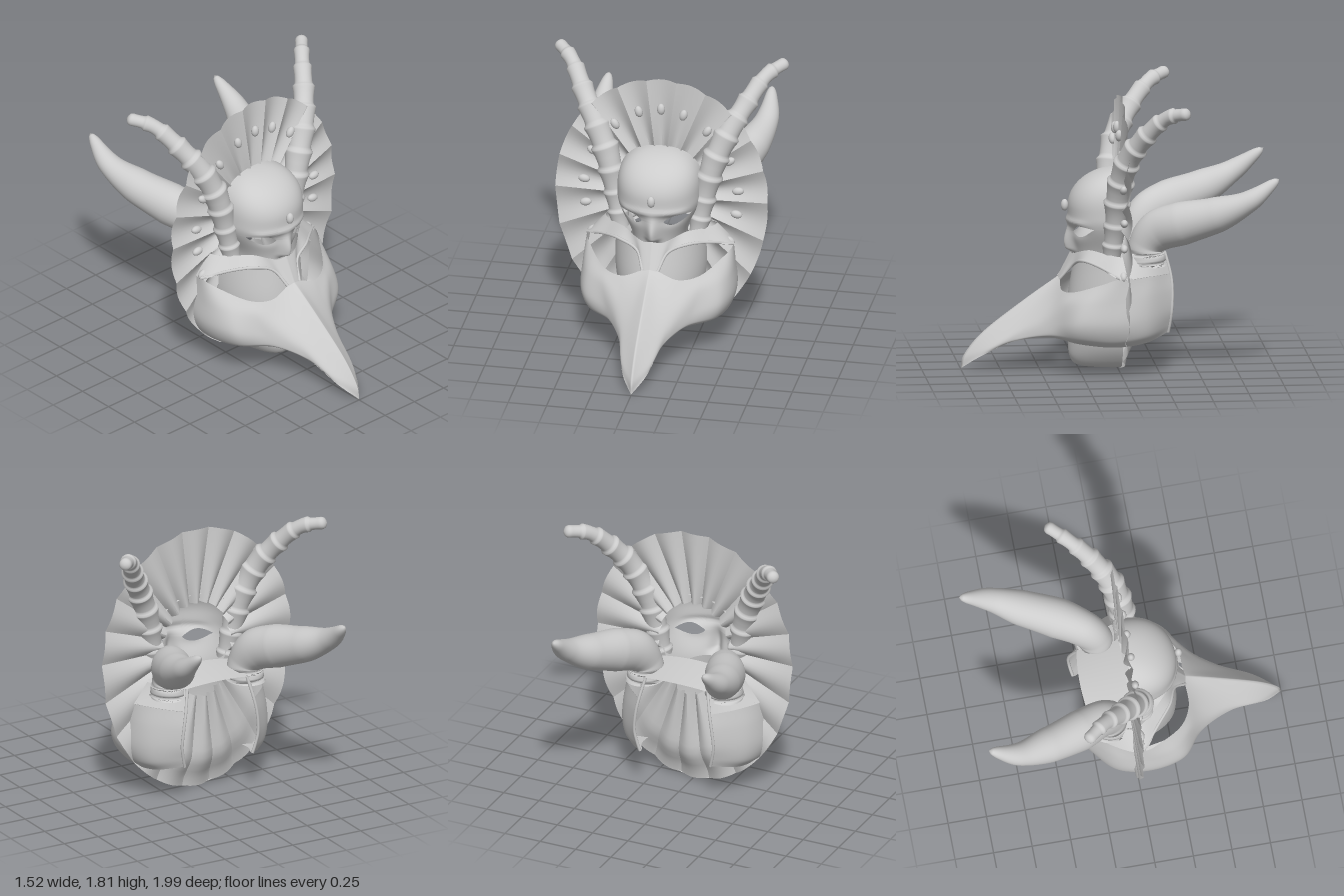
import * as THREE from 'three';
import { mergeVertices, toCreasedNormals } from 'three/addons/utils/BufferGeometryUtils.js';

const material = new THREE.MeshStandardMaterial({ color: 0xcccccc, side: THREE.DoubleSide });
const V = (p) => new THREE.Vector3(...p);
const spline = (pts) => new THREE.CatmullRomCurve3(pts.map(V), false, 'catmullrom', 0.5);
const lerp = THREE.MathUtils.lerp;
const smooth = THREE.MathUtils.smoothstep;

// Grid surface from fn(u, v) -> [x, y, z], with u and v from 0 to 1
function surface(fn, nu, nv) {
  const pos = [], index = [];
  for (let j = 0; j <= nv; j++) for (let i = 0; i <= nu; i++) pos.push(...fn(i / nu, j / nv));
  for (let j = 0; j < nv; j++) for (let i = 0; i < nu; i++) {
    const a = j * (nu + 1) + i, b = a + nu + 1;
    index.push(a, a + 1, b, a + 1, b + 1, b);
  }
  let geo = new THREE.BufferGeometry();
  geo.setAttribute('position', new THREE.Float32BufferAttribute(pos, 3));
  geo.setIndex(index);
  geo = mergeVertices(geo, 1e-5);
  geo.computeVertexNormals();
  return geo;
}

// Left-right symmetric skin through guide rows that run from the centre line to the back
function skin(rows, nu, nv) {
  const curves = rows.map(spline);
  const columns = [];
  for (let i = 0; i <= nu; i++) {
    columns.push(new THREE.CatmullRomCurve3(curves.map((c) => c.getPoint(i / nu)), false, 'catmullrom', 0.5));
  }
  return surface((u, v) => {
    const s = u * 2 - 1;
    const p = columns[Math.round(Math.abs(s) * nu)].getPoint(v);
    return [s < 0 ? -p.x : p.x, p.y, p.z];
  }, nu * 2, nv);
}

// Elliptical section swept along a path; radii(t) -> [side, up]
function sweep(pts, ref, radii, nu, nv) {
  const curve = spline(pts);
  return surface((u, v) => {
    const p = curve.getPoint(v), t = curve.getTangent(v);
    const side = new THREE.Vector3().crossVectors(t, ref).normalize();
    const up = new THREE.Vector3().crossVectors(side, t);
    const [a, b] = radii(v), w = (u === 1 ? 0 : u) * Math.PI * 2;
    return p.addScaledVector(side, a * Math.cos(w)).addScaledVector(up, b * Math.sin(w)).toArray();
  }, nu, nv);
}

// Interpolates evenly spaced values
function sample(list, t) {
  const f = Math.min(t, 0.99999) * (list.length - 1), i = Math.floor(f);
  return lerp(list[i], list[i + 1], smooth(f - i, 0, 1) * 0.3 + (f - i) * 0.7);
}

// Rounds off the last part of a sweep
const roundEnd = (t, from) => Math.sqrt(Math.max(0, 1 - Math.max(0, (t - from) / (1 - from)) ** 2));

export function createModel() {
  const group = new THREE.Group();
  const add = (name, geo) => {
    const mesh = new THREE.Mesh(geo, material);
    mesh.name = name;
    group.add(mesh);
    return mesh;
  };

  // Pleated oval ruff, open behind the face and bowed back behind the chin
  const pleats = 22;
  const ruff = surface((u, v) => {
    const a = (u === 1 ? 0 : u) * Math.PI * 2, s = Math.sin(a), c = Math.cos(a);
    const wave = 1 - Math.abs(Math.sin((u * pleats + 0.5) * Math.PI));
    const bow = 0.1 * Math.max(0, -c) ** 4 * (1 - smooth(v, 0.62, 1));
    const y = 0.95 + c * (c > 0 ? lerp(0.3, 0.805, v) : lerp(0.3, 0.945, v));
    return [s * lerp(0.25, 0.69, v), y, -0.035 + wave * lerp(0.045, 0.026, v) - bow];
  }, pleats * 8, 12);
  add('ruff', toCreasedNormals(ruff, 0.5));

  // Gems around the ruff and on the forehead
  const gem = new THREE.SphereGeometry(1, 16, 12);
  const spots = [[0.145, 1.53], [0.3, 1.43], [0.445, 1.23], [0.5, 1.025], [0.49, 0.86], [0.445, 0.67]];
  const placeGem = (name, x, y, z) => {
    const m = add(name, gem);
    m.position.set(x, y, z);
    m.scale.set(0.026, 0.038, 0.024);
    m.rotation.z = -Math.atan2(x, y - 0.95);
  };
  placeGem('ruffGem', 0, 1.56, 0);
  for (const [x, y] of spots) for (const s of [-1, 1]) placeGem('ruffGem', s * x, y, 0);
  placeGem('foreheadGem', 0, 1.06, 0.335);

  // Upper face: domed shell with almond eye holes, brow and nose
  const facePoint = (a, y) => {
    const h = Math.min(1, Math.max(0, (y - 1.05) / 0.25));
    const w = lerp(0.17, 0.27, smooth(y, 0.7, 1.0)) * Math.pow(1 - h ** 2.6, 1 / 2.3);
    const d = lerp(0.27, 0.325, smooth(y, 0.7, 0.98)) * Math.sqrt(1 - h * h);
    const x = w * Math.sin(a), k = Math.abs(a);
    const nose = 0.06 * Math.exp(-((x / 0.038) ** 2)) * smooth(y, 0.735, 0.785) * (1 - smooth(y, 0.8, 0.97));
    const brow = 0.014 * Math.exp(-(((y - 0.965) / 0.02) ** 2)) * (1 - smooth(k, 0.7, 1.2));
    const socket = 0.02 * Math.exp(-(((y - 0.91) / 0.04) ** 2) - ((k - 0.55) / 0.35) ** 2);
    return [x, y, d * Math.pow(Math.max(0, Math.cos(a)), 0.72) + nose + brow - socket - 0.01];
  };
  const eyeIn = 9 * Math.PI / 96, eyeOut = 34 * Math.PI / 96;
  const eyeEdge = (a, up) => {
    const t = THREE.MathUtils.clamp((Math.abs(a) - eyeIn) / (eyeOut - eyeIn), 0, 1);
    const bulge = Math.sin(Math.pow(t, 0.8) * Math.PI);
    return 0.9 + 0.035 * t + (up ? 0.032 : -0.04) * Math.max(0, bulge);
  };
  const angle = (u) => (u - 0.5) * Math.PI;
  add('faceForehead', surface((u, v) => {
    const y0 = eyeEdge(angle(u), true);
    return facePoint(angle(u), y0 + (1.3 - y0) * Math.sin(v * Math.PI / 2));
  }, 96, 40));
  add('faceCheeks', surface((u, v) => {
    const a = angle(u), y0 = 0.74 - 0.02 * Math.sin(a) ** 2;
    return facePoint(a, lerp(y0, eyeEdge(a, false), v));
  }, 96, 20));

  // Lower face and chin shell inside the beaked helmet; points are width, height, depth
  const jaw = spline([[0.01, 0.015, 0.03], [0.1, 0.018, 0.25], [0.165, 0.07, 0.32], [0.235, 0.2, 0.335],
    [0.29, 0.45, 0.335], [0.29, 0.74, 0.29]]);
  add('chin', surface((u, v) => {
    const p = jaw.getPoint(v), a = angle(u);
    return [p.x * Math.sin(a), p.y, p.z * Math.cos(a) - 0.02];
  }, 40, 30));

  // Beaked helmet: guide rows from the beak ridge round to the back opening
  const bottom = [[0, 0.01, 1], [0.08, 0.1, 0.88], [0.13, 0.2, 0.68], [0.23, 0.245, 0.46],
    [0.36, 0.22, 0.27], [0.41, 0.205, 0.05], [0.38, 0.225, -0.15], [0.25, 0.27, -0.305]];
  const tuck = [...bottom.slice(0, 3), [0.2, 0.25, 0.44], [0.26, 0.235, 0.26], [0.3, 0.23, 0.05],
    [0.31, 0.24, -0.14], [0.24, 0.275, -0.295]];
  const tipRow = [[0, 0.1, 0.98], [0.1, 0.17, 0.81], [0.155, 0.235, 0.63], [0.265, 0.27, 0.44],
    [0.42, 0.265, 0.29], [0.465, 0.255, 0.06], [0.43, 0.285, -0.15], [0.265, 0.33, -0.315]];
  const girth = [[0, 0.25, 0.855], [0.1, 0.27, 0.7], [0.17, 0.31, 0.57], [0.28, 0.34, 0.42],
    [0.45, 0.36, 0.29], [0.5, 0.36, 0.06], [0.45, 0.39, -0.15], [0.28, 0.42, -0.325]];
  const cheek = [[0, 0.45, 0.595], [0.08, 0.44, 0.52], [0.18, 0.45, 0.44], [0.31, 0.47, 0.36],
    [0.44, 0.49, 0.24], [0.49, 0.51, 0.06], [0.44, 0.53, -0.15], [0.27, 0.54, -0.33]];
  const rear = [[0.475, 0.66, 0.02], [0.4, 0.66, -0.17], [0.25, 0.65, -0.32]];
  const bridge = [[0, 0.6, 0.38], [0.05, 0.59, 0.37]];
  const eyeLow = [...bridge, [0.18, 0.54, 0.37], [0.31, 0.55, 0.3], [0.42, 0.61, 0.15], ...rear];
  const eyeHigh = [...bridge, [0.1, 0.69, 0.29], [0.22, 0.735, 0.24], [0.34, 0.715, 0.14], ...rear];
  const top = [[0, 0.76, 0.3], [0.06, 0.755, 0.29], [0.12, 0.775, 0.26], [0.2, 0.8, 0.19],
    [0.29, 0.79, 0.1], [0.36, 0.78, -0.01], [0.33, 0.79, -0.15], [0.22, 0.79, -0.285]];
  add('helmetBeak', skin([bottom, tipRow, girth, cheek, eyeLow], 70, 36));
  add('helmetUnderside', skin([bottom, tuck], 70, 4));
  add('helmetBrow', skin([eyeHigh, top], 70, 10));

  // Arched cap closing the back of the helmet
  add('helmetCap', surface((u, v) => {
    const s = u * 2 - 1, arch = 1 - s * s;
    return [s * lerp(0.36, 0.22, v ** 1.6), 0.79 + 0.05 * arch * (1 - 0.6 * v), lerp(-0.01, -0.285, v) - 0.02 * arch * v];
  }, 24, 12));

  // Swept-back ears that flare into the helmet
  const earPath = [[0.28, 0.72, -0.16], [0.285, 0.85, -0.165], [0.32, 0.945, -0.24], [0.39, 1.0, -0.38],
    [0.475, 1.07, -0.6], [0.535, 1.165, -0.8], [0.53, 1.305, -0.99]];
  const ear = sweep(earPath, new THREE.Vector3(0, 1, 0), (t) => [
    sample([0.12, 0.105, 0.115, 0.13, 0.115, 0.075, 0.025], t) * roundEnd(t, 0.95),
    sample([0.13, 0.115, 0.135, 0.14, 0.115, 0.07, 0.025], t) * roundEnd(t, 0.95)], 32, 70);

  // Ringed horns
  const hornPath = [[0.25, 0.74, 0.06], [0.285, 0.95, 0.04], [0.34, 1.2, 0.02], [0.43, 1.42, -0.03],
    [0.53, 1.59, -0.13], [0.63, 1.73, -0.26], [0.745, 1.78, -0.395]];
  const rings = 10;
  const horn = sweep(hornPath, new THREE.Vector3(0, 0, 1), (t) => {
    const f = (t * rings) % 1;
    const lip = 0.86 + 0.34 * f * f * (1 - smooth(f, 0.84, 1)) + 0.04 * (1 - f);
    const r = sample([0.06, 0.07, 0.084, 0.08, 0.067, 0.05, 0.038], t) * lip * roundEnd(t, 0.96);
    return [r, r];
  }, 28, rings * 14);

  // Rims of the back opening and the brow
  const tube = (pts, r) => new THREE.TubeGeometry(spline(pts), 30, r, 8);
  const backRim = tube([bottom, tipRow, girth, cheek, eyeHigh, top].map((row) => row[7]), 0.01);
  const browRim = tube(eyeHigh.slice(1, 6), 0.01);
  for (const s of [1, -1]) {
    const side = s > 0 ? 'left' : 'right';
    add(side + 'Ear', ear).scale.x = s;
    add(side + 'Horn', horn).scale.x = s;
    add(side + 'BackRim', backRim).scale.x = s;
    add(side + 'BrowRim', browRim).scale.x = s;
  }
  return group;
}
